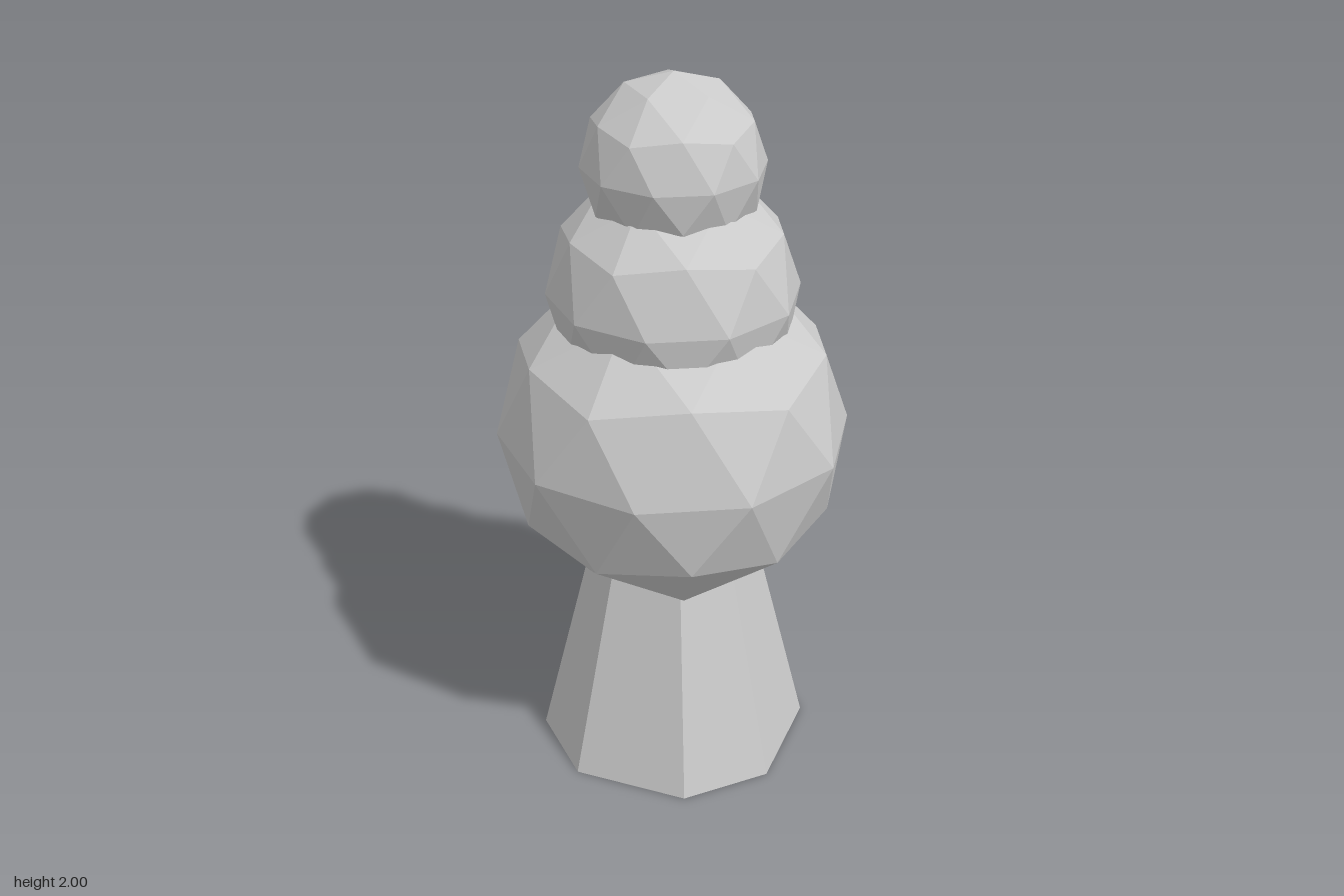
import * as THREE from 'three';

const material = new THREE.MeshStandardMaterial({ color: 0xcccccc, flatShading: true });

function addPart(group, name, geometry, y) {
  const mesh = new THREE.Mesh(geometry, material);
  mesh.name = name;
  mesh.position.y = y;
  group.add(mesh);
}

// Faceted ball with a corner pointing straight up
function ball(radius) {
  const geometry = new THREE.IcosahedronGeometry(radius, 1);
  geometry.rotateZ(-Math.atan(2 / (1 + Math.sqrt(5))));
  return geometry;
}

// Tapered eight-sided trunk, its diagonal sides a little wider than the straight ones
function taperedTrunk(halfTop, halfBottom, height) {
  const toRadius = 1 / Math.cos(Math.PI / 8);
  const geometry = new THREE.CylinderGeometry(halfTop * toRadius, halfBottom * toRadius, height, 8);
  geometry.rotateY(Math.PI / 8);
  const pos = geometry.attributes.position;
  const narrow = 0.867;
  for (let i = 0; i < pos.count; i++) {
    const x = pos.getX(i), z = pos.getZ(i);
    if (Math.abs(x) < Math.abs(z)) pos.setX(i, x * narrow);
    else pos.setZ(i, z * narrow);
  }
  geometry.computeVertexNormals();
  return geometry;
}

export function createModel() {
  const group = new THREE.Group();
  group.name = 'tree';

  // Trunk, its top hidden inside the lowest ball
  addPart(group, 'trunk', taperedTrunk(0.157, 0.363, 0.9), 0.45);

  // Three stacked balls of foliage
  addPart(group, 'lowerFoliage', ball(0.485), 1.0);
  addPart(group, 'middleFoliage', ball(0.34), 1.41);
  addPart(group, 'upperFoliage', ball(0.243), 1.757);

  return group;
}
